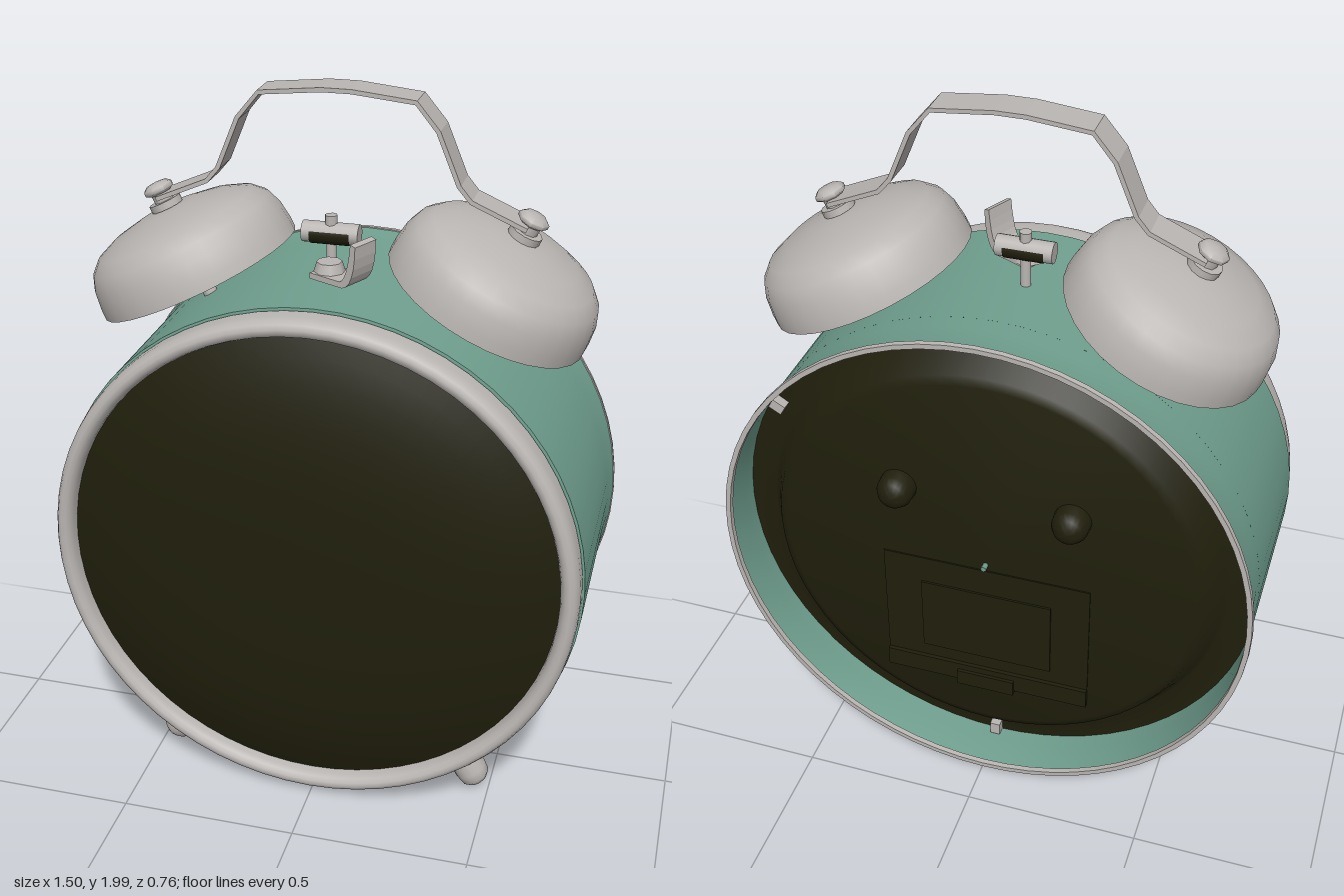
import * as THREE from 'three';
import { toCreasedNormals } from 'three/addons/utils/BufferGeometryUtils.js';

const mat = (name, color, side = THREE.FrontSide) => {
  const m = new THREE.MeshStandardMaterial({ color, side });
  m.name = name;
  return m;
};

export function createModel() {
  const silver = mat('silver metal', 0xbab6b3, THREE.DoubleSide);
  const teal = mat('teal paint', 0x70a08f, THREE.DoubleSide);
  const dark = mat('dark glass and plastic', 0x201f0c);

  const model = new THREE.Group();
  model.name = 'alarmClock';
  const CY = 0.758; // height of the case centre

  const add = (parent, name, geometry, material, x = 0, y = 0, z = 0) => {
    const mesh = new THREE.Mesh(geometry, material);
    mesh.name = name;
    mesh.position.set(x, y, z);
    parent.add(mesh);
    return mesh;
  };
  const lathe = (points, segments = 64, crease = 0.8) => toCreasedNormals(
    new THREE.LatheGeometry(points.map(([r, h]) => new THREE.Vector2(r, h)), segments), crease);
  const cyl = (r, h, n = 12, r2 = r) => new THREE.CylinderGeometry(r, r2, h, n);
  const box = (w, h, d) => new THREE.BoxGeometry(w, h, d);

  // Case: its lathe axis is turned to face the front
  const clockCase = new THREE.Group();
  clockCase.name = 'case';
  clockCase.position.y = CY;
  model.add(clockCase);
  const turned = (name, points, material) => {
    add(clockCase, name, lathe(points), material).rotation.x = Math.PI / 2;
  };
  turned('caseShell', [[0.75, -0.37], [0.744, -0.33], [0.74, -0.27], [0.739, 0.246], [0.7, 0.25]], teal);
  turned('backRim', [[0.737, -0.377], [0.751, -0.377], [0.752, -0.362], [0.736, -0.362], [0.737, -0.377]], silver);
  turned('bezel', [[0.715, 0.25], [0.733, 0.252], [0.733, 0.29], [0.73, 0.308], [0.722, 0.322],
    [0.71, 0.329], [0.698, 0.327], [0.688, 0.318], [0.682, 0.303], [0.68, 0.27]], silver);
  const dome = [];
  for (let i = 0; i <= 12; i++) {
    const r = 0.684 * (1 - i / 12);
    dome.push([r, 0.38 - 0.09 * r ** 2 - 0.25 * r ** 4]);
  }
  turned('frontGlass', dome, dark);
  turned('backPlate', [[0, -0.315], [0.59, -0.315], [0.615, -0.305], [0.65, -0.24], [0.665, -0.228], [0.74, -0.225]], dark);

  // Details on the back plate
  add(clockCase, 'batteryCompartment', box(0.6, 0.42, 0.008), dark, 0, -0.23, -0.315);
  add(clockCase, 'batteryDoor', box(0.38, 0.24, 0.016), dark, 0, -0.225, -0.317);
  add(clockCase, 'latchBar', box(0.6, 0.06, 0.025), dark, 0, -0.42, -0.318);
  add(clockCase, 'latchClip', box(0.17, 0.05, 0.04), dark, 0, -0.435, -0.32);
  add(clockCase, 'centreMark', cyl(0.008, 0.03, 8), teal, 0, 0, -0.32).rotation.x = Math.PI / 2;
  for (const s of [-1, 1]) {
    const knob = add(clockCase, 'settingKnob',
      lathe([[0, -0.385], [0.022, -0.382], [0.039, -0.37], [0.05, -0.35], [0.052, -0.31]], 20),
      dark, s * 0.245, 0.223, 0);
    knob.rotation.x = Math.PI / 2;
  }
  for (const deg of [30, 150, 270]) {
    const a = deg * Math.PI / 180;
    add(clockCase, 'plateClip', box(0.04, 0.03, 0.03), silver,
      0.715 * Math.cos(a), 0.715 * Math.sin(a), -0.24).rotation.z = a;
  }

  // Bells and feet, mirrored left and right
  const bellProfile = [[0.29, 0], [0.289, 0.03], [0.282, 0.08], [0.266, 0.12], [0.234, 0.151],
    [0.175, 0.175], [0.09, 0.193], [0, 0.2]];
  for (const s of [-1, 1]) {
    const bell = new THREE.Group();
    bell.name = s > 0 ? 'leftBell' : 'rightBell';
    bell.position.set(s * 0.4, 1.455, -0.037);
    bell.rotation.z = -s * 0.448;
    model.add(bell);
    add(bell, 'bellDome', lathe(bellProfile, 32, 0.9), silver);
    add(bell, 'bellPost', cyl(0.02, 0.34), silver, 0, 0.05);
    add(bell, 'bellWasher', cyl(0.045, 0.02, 12), silver, 0, 0.208);
    add(bell, 'bellBolt', cyl(0.028, 0.06, 8), silver, 0, 0.23);
    add(bell, 'bellNut', lathe([[0.03, 0.24], [0.043, 0.248], [0.043, 0.258], [0.03, 0.268], [0, 0.272]], 8, 1),
      silver);

    const foot = add(model, s > 0 ? 'leftFoot' : 'rightFoot',
      lathe([[0, -0.092], [0.03, -0.09], [0.043, -0.076], [0.047, -0.05], [0.047, 0.09]], 16), silver,
      s * 0.42, 0.108, 0.16);
    foot.rotation.z = s * 0.558;
  }

  // Handle: a bent metal strip, outlined by offsetting its centre line
  const half = [[0.5, 1.668], [0.355, 1.731], [0.322, 1.77], [0.265, 1.907], [0.207, 1.977], [0.04, 1.994]];
  const path = [...half.map(([x, y]) => [-x, y]), ...half.slice().reverse()];
  const offset = (d) => path.map(([x, y], i) => {
    const a = path[Math.max(i - 1, 0)], b = path[Math.min(i + 1, path.length - 1)];
    const dx = b[0] - a[0], dy = b[1] - a[1], l = Math.hypot(dx, dy);
    return new THREE.Vector2(x - dy / l * d, y + dx / l * d);
  });
  const strip = new THREE.Shape([...offset(0.006), ...offset(-0.006).reverse()]);
  add(model, 'handle', new THREE.ExtrudeGeometry(strip, { depth: 0.095, bevelEnabled: false }),
    silver, 0, 0, -0.083);

  // Hammer between the bells, with a dark grip around its underside
  const hammer = new THREE.Group();
  hammer.name = 'hammer';
  hammer.position.set(-0.024, 1.603, -0.03);
  model.add(hammer);
  add(hammer, 'hammerPost', cyl(0.014, 0.17), silver, 0, -0.065);
  add(hammer, 'hammerHead', cyl(0.029, 0.155, 14), silver).rotation.z = Math.PI / 2;
  const grip = new THREE.CylinderGeometry(0.031, 0.031, 0.11, 12, 1, true, Math.PI - 0.3, Math.PI + 0.6);
  add(hammer, 'hammerGrip', grip, dark).rotation.z = Math.PI / 2;
  add(hammer, 'hammerScrew', cyl(0.017, 0.05, 8), silver, 0, 0.025);

  // Alarm switch: a screw with a curved lever
  const lever = new THREE.Group();
  lever.name = 'alarmSwitch';
  lever.position.set(-0.005, 1.515, 0.06);
  lever.rotation.y = -0.45;
  model.add(lever);
  add(lever, 'switchScrew', cyl(0.034, 0.035, 8, 0.045), silver, 0, 0.025);
  const curl = new THREE.Shape();
  curl.moveTo(-0.03, 0);
  curl.lineTo(0.08, 0);
  curl.quadraticCurveTo(0.122, 0.01, 0.124, 0.12);
  curl.lineTo(0.108, 0.125);
  curl.quadraticCurveTo(0.098, 0.025, 0.072, 0.016);
  curl.lineTo(-0.03, 0.016);
  add(lever, 'switchLever', new THREE.ExtrudeGeometry(curl, { depth: 0.085, bevelEnabled: false, curveSegments: 6 }),
    silver, 0, 0, -0.04);

  return model;
}
